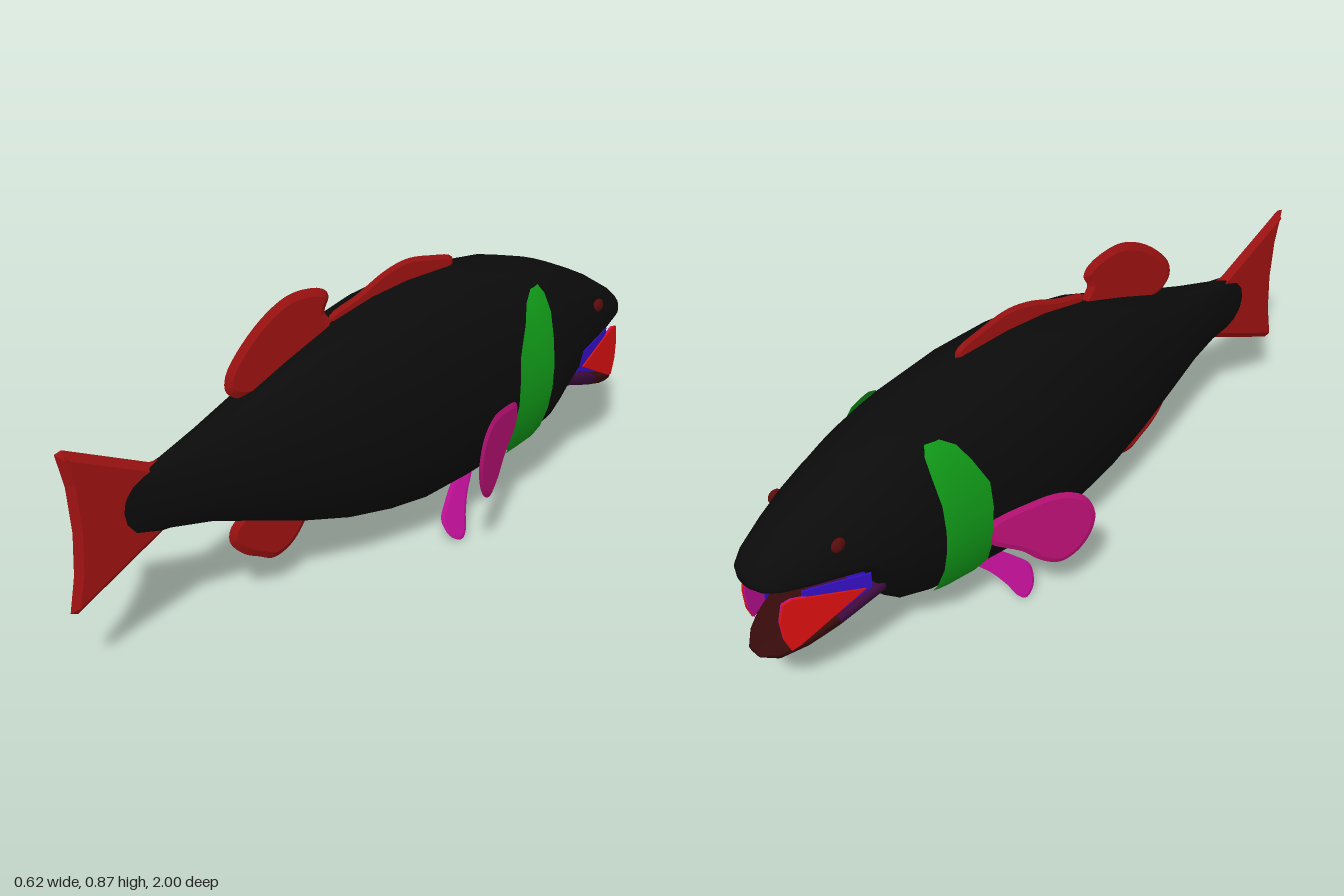
import * as THREE from 'three';

const mat = (name, color, side = THREE.FrontSide) => {
  const m = new THREE.MeshStandardMaterial({ color, side });
  m.name = name;
  return m;
};

// Cross-sections from head to tail: z, top, widest height, bottom, half width
const BODY = [
  [-1.0, 0.492, 0.477, 0.464, 0.03],
  [-0.985, 0.515, 0.475, 0.455, 0.062],
  [-0.95, 0.545, 0.475, 0.445, 0.088],
  [-0.88, 0.593, 0.475, 0.428, 0.115],
  [-0.8, 0.637, 0.475, 0.412, 0.14],
  [-0.72, 0.677, 0.465, 0.395, 0.16],
  [-0.7, 0.687, 0.455, 0.3, 0.165],
  [-0.65, 0.71, 0.455, 0.235, 0.176],
  [-0.6, 0.73, 0.455, 0.19, 0.185],
  [-0.5, 0.763, 0.455, 0.155, 0.196],
  [-0.3, 0.793, 0.457, 0.135, 0.205],
  [-0.13, 0.797, 0.458, 0.125, 0.203],
  [0.0, 0.787, 0.459, 0.14, 0.193],
  [0.15, 0.757, 0.46, 0.172, 0.172],
  [0.3, 0.703, 0.46, 0.222, 0.14],
  [0.45, 0.643, 0.46, 0.282, 0.102],
  [0.58, 0.6, 0.46, 0.332, 0.066],
  [0.7, 0.565, 0.46, 0.36, 0.036],
  [0.8, 0.55, 0.46, 0.366, 0.019],
  [0.845, 0.538, 0.46, 0.38, 0.012],
  [0.86, 0.515, 0.46, 0.41, 0.006],
];
const JAW = [
  [-1.0, 0.241, 0.237, 0.23, 0.025],
  [-0.965, 0.255, 0.247, 0.215, 0.065],
  [-0.9, 0.287, 0.275, 0.23, 0.1],
  [-0.82, 0.322, 0.308, 0.257, 0.125],
  [-0.69, 0.378, 0.36, 0.305, 0.15],
];

const SIDES = 16, POWER = 0.85;

// Closed, smooth tube through oval rings
function loft(rows) {
  const pos = [], idx = [], n = SIDES, last = rows.length - 1;
  for (const [z, top, mid, bottom, w] of rows) {
    for (let j = 0; j < n; j++) {
      const a = (j / n) * Math.PI * 2, s = Math.sin(a), c = Math.cos(a);
      pos.push(w * Math.sign(s) * Math.abs(s) ** POWER, mid + c * (c > 0 ? top - mid : mid - bottom), z);
    }
  }
  pos.push(0, rows[0][2], rows[0][0], 0, rows[last][2], rows[last][0]);
  const c0 = rows.length * n;
  for (let j = 0; j < n; j++) {
    const k = (j + 1) % n;
    for (let i = 0; i < last; i++) {
      const a = i * n + j, b = i * n + k;
      idx.push(a, a + n, b, b, a + n, b + n);
    }
    idx.push(c0, j, k, c0 + 1, last * n + k, last * n + j);
  }
  const g = new THREE.BufferGeometry();
  g.setAttribute('position', new THREE.Float32BufferAttribute(pos, 3));
  g.setIndex(idx);
  g.computeVertexNormals();
  return g;
}

// Half width of the body at a given z and y
function bodyX(z, y) {
  let i = 0;
  while (i < BODY.length - 2 && BODY[i + 1][0] < z) i++;
  const t = (z - BODY[i][0]) / (BODY[i + 1][0] - BODY[i][0]);
  const [, top, mid, bottom, w] = BODY[i].map((v, k) => v + (BODY[i + 1][k] - v) * t);
  const c = Math.min(1, Math.abs(y > mid ? (y - mid) / (top - mid) : (mid - y) / (mid - bottom)));
  return w * Math.sqrt(1 - c * c) ** POWER;
}

// Thin plate with a (z, y) outline; xAt bends it sideways, bevel thins its rim
function plate(points, { half = 0.008, bevel = 0.02, round = true, xAt = () => 0 } = {}) {
  let pts = points.map(([z, y]) => new THREE.Vector3(z, y, 0));
  if (round) pts = new THREE.CatmullRomCurve3(pts, true).getPoints(44).slice(0, -1);
  const shape = new THREE.Shape(pts.map(p => new THREE.Vector2(p.x, p.y)));
  const g = new THREE.ExtrudeGeometry(shape, {
    depth: 0.001, bevelThickness: half, bevelSize: bevel, bevelOffset: -bevel, bevelSegments: 1,
  });
  const p = g.attributes.position;
  for (let i = 0; i < p.count; i++) {
    const z = p.getX(i), y = p.getY(i), d = p.getZ(i);
    p.setXYZ(i, xAt(z, y) - d, y, z);
  }
  g.computeVertexNormals();
  return g;
}

// Gill cover patch hugging the body: rows of y, front z, back z
function gillPatch() {
  const rows = [[0.705, -0.525, -0.485], [0.68, -0.538, -0.448], [0.63, -0.54, -0.42], [0.55, -0.532, -0.382],
    [0.47, -0.53, -0.378], [0.4, -0.53, -0.38], [0.33, -0.53, -0.375], [0.26, -0.532, -0.37],
    [0.225, -0.53, -0.4], [0.182, -0.49, -0.44]];
  const pos = [], idx = [], n = 6;
  rows.forEach(([y, z0, z1], i) => {
    for (let j = 0; j <= n; j++) {
      const z = z0 + (z1 - z0) * j / n;
      pos.push(bodyX(z, y) + 0.009, y, z);
      if (i && j) {
        const d = i * (n + 1) + j, b = d - n - 1;
        idx.push(b - 1, b, d - 1, b, d, d - 1);
      }
    }
  });
  const g = new THREE.BufferGeometry();
  g.setAttribute('position', new THREE.Float32BufferAttribute(pos, 3));
  g.setIndex(idx);
  g.computeVertexNormals();
  return g;
}

export function createModel() {
  const model = new THREE.Group();
  const black = mat('body black', 0x0b0b0b);
  const red = mat('fin red', 0xa01212);
  const mouthRed = mat('mouth red', 0xdc1010);
  const green = mat('gill green', 0x119a18, THREE.DoubleSide);
  const pink = mat('fin magenta', 0xba1075);
  const violet = mat('belly fin magenta', 0xbc0f94);
  const blue = mat('mouth blue', 0x3410c4);
  const purple = mat('jaw purple', 0x3c0a3c);
  const maroon = mat('jaw maroon', 0x360a0a);
  const eyeRed = mat('eye red', 0x5a0c0c);

  const add = (name, geo, material) => {
    const m = new THREE.Mesh(geo, material);
    m.name = name;
    model.add(m);
    return m;
  };
  const pair = (name, geo, material) => {
    add(name + 'Left', geo, material);
    add(name + 'Right', geo, material).scale.x = -1;
  };

  // Body and lower jaw
  add('body', loft(BODY), black);
  add('lowerJawTip', loft(JAW.slice(0, 4)), maroon);
  add('lowerJawBase', loft(JAW.slice(3)), purple);

  // Fins on the centre line
  add('tailFin', plate([[0.68, 0.56], [0.74, 0.565], [0.98, 0.69], [1, 0.685], [0.98, 0.59], [0.972, 0.46],
    [0.98, 0.34], [1, 0.24], [0.98, 0.23], [0.72, 0.355], [0.68, 0.38]], { half: 0.014, round: false }), red);
  add('frontDorsalFin', plate([[-0.3, 0.775], [-0.305, 0.812], [-0.22, 0.84], [-0.13, 0.855], [-0.05, 0.843],
    [0.05, 0.805], [0.15, 0.77], [0.12, 0.72], [-0.1, 0.72]], { half: 0.006, bevel: 0.012 }), red);
  add('rearDorsalFin', plate([[0.13, 0.74], [0.165, 0.79], [0.15, 0.83], [0.17, 0.857], [0.27, 0.875], [0.35, 0.85],
    [0.44, 0.785], [0.495, 0.715], [0.495, 0.67], [0.44, 0.635], [0.28, 0.65]], { half: 0.01 }), red);
  add('analFin', plate([[0.22, 0.25], [0.25, 0.185], [0.3, 0.135], [0.36, 0.12], [0.41, 0.145], [0.46, 0.175],
    [0.505, 0.23], [0.5, 0.272], [0.44, 0.31], [0.32, 0.31]], { half: 0.01 }), red);

  // Paired fins
  pair('pectoralFin', plate([[-0.385, 0.4], [-0.28, 0.44], [-0.2, 0.449], [-0.14, 0.42], [-0.11, 0.35],
    [-0.12, 0.285], [-0.155, 0.23], [-0.2, 0.207], [-0.25, 0.23], [-0.3, 0.28], [-0.385, 0.34]],
    { half: 0.006, bevel: 0.015, xAt: z => 0.2 + 0.43 * (z + 0.37) }), pink);
  pair('pelvicFin', plate([[-0.335, 0.16], [-0.27, 0.16], [-0.195, 0.105], [-0.165, 0.07], [-0.178, 0.022],
    [-0.215, 0.003], [-0.238, 0.018], [-0.26, 0.06], [-0.29, 0.105]],
    { half: 0.004, bevel: 0.01, xAt: (z, y) => 0.158 - 0.54 * y }), violet);

  // Gill covers and eyes
  pair('gillCover', gillPatch(), green);
  const eye = new THREE.SphereGeometry(0.021, 14, 10).scale(0.5, 1, 1);
  eye.translate(bodyX(-0.805, 0.553) + 0.002, 0.553, -0.805);
  pair('eye', eye, eyeRed);

  // Mouth: red cheeks lined with blue and magenta, open at the front
  const cheekX = inset => z => 0.132 - inset + 0.25 * (z + 0.75);
  const thin = inset => ({ half: 0.002, bevel: 0.002, round: false, xAt: cheekX(inset) });
  pair('cheek', plate([[-0.74, 0.375], [-0.93, 0.432], [-0.955, 0.425], [-0.966, 0.37], [-0.962, 0.31],
    [-0.945, 0.262], [-0.92, 0.27]], thin(0)), mouthRed);
  pair('cheekLiningFront', plate([[-0.89, 0.42], [-0.93, 0.43], [-0.954, 0.423], [-0.965, 0.37], [-0.96, 0.31],
    [-0.943, 0.264], [-0.89, 0.29]], thin(0.006)), violet);
  pair('cheekLiningBack', plate([[-0.72, 0.415], [-0.9, 0.44], [-0.9, 0.285], [-0.72, 0.365]], thin(0.007)), blue);
  const throat = new THREE.BoxGeometry(0.24, 0.08, 0.008);
  throat.translate(0, 0.385, -0.735);
  add('throat', throat, blue);
  return model;
}
